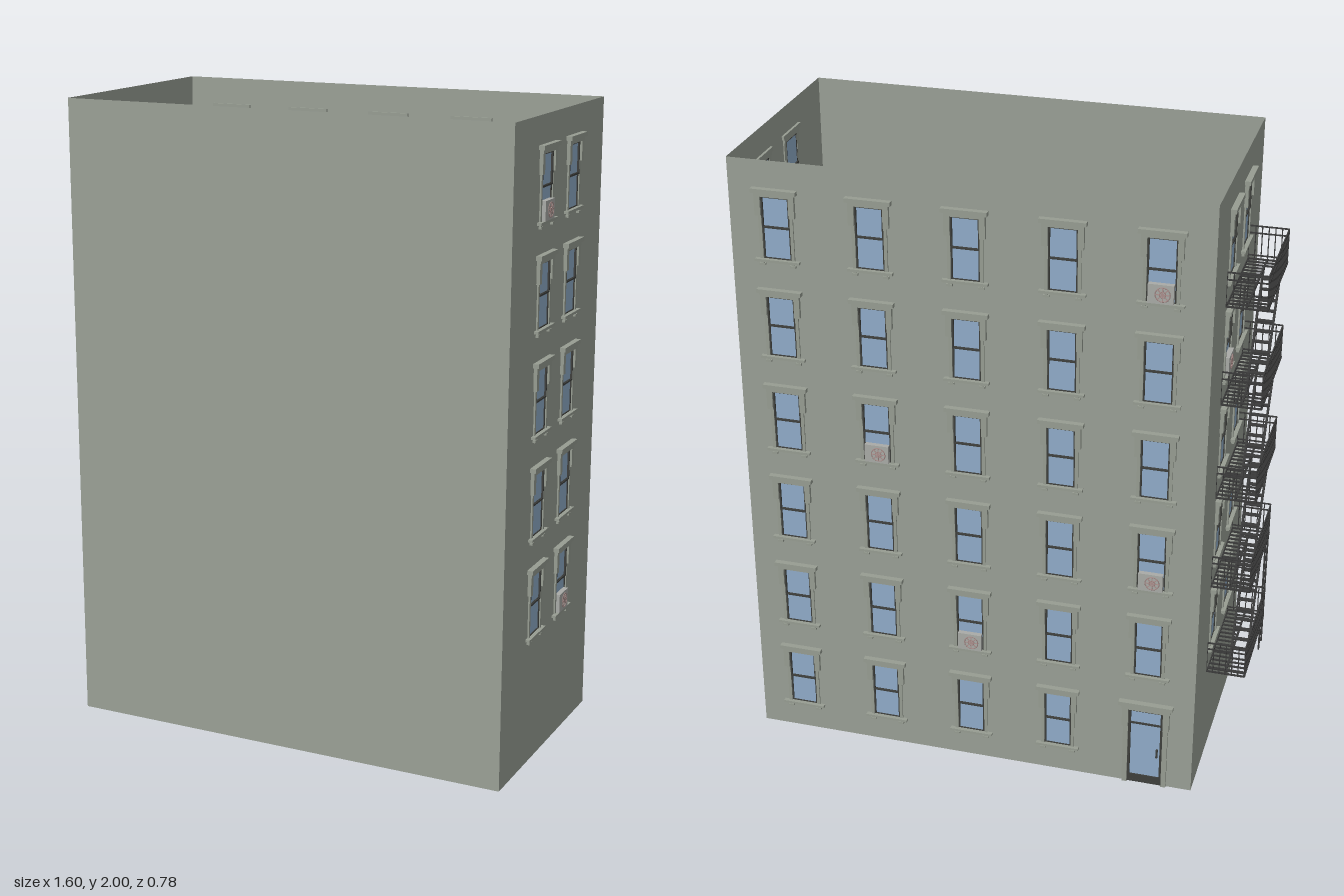
import * as THREE from 'three';
import { mergeGeometries } from 'three/addons/utils/BufferGeometryUtils.js';

const COLORS = {
  wall: 0x9aa096, trim: 0x979d92, frame: 0x3e3f3c, glass: 0x90acc9,
  airConditioner: 0xa9aba7, fan: 0xab8f8c, iron: 0x3a3a3a,
};
const mats = {};
for (const k in COLORS) {
  mats[k] = new THREE.MeshStandardMaterial({ color: COLORS[k], side: THREE.DoubleSide });
}

// Box given by its min and max corners
function box(x0, x1, y0, y1, z0, z1) {
  return new THREE.BoxGeometry(x1 - x0, y1 - y0, z1 - z0)
    .translate((x0 + x1) / 2, (y0 + y1) / 2, (z0 + z1) / 2);
}

// Square bar between two points
function bar(a, b, t = 0.004) {
  const A = new THREE.Vector3(...a), B = new THREE.Vector3(...b);
  const d = B.clone().sub(A);
  const g = new THREE.BoxGeometry(t, d.length(), t);
  g.applyQuaternion(new THREE.Quaternion().setFromUnitVectors(new THREE.Vector3(0, 1, 0), d.normalize()));
  return g.translate((A.x + B.x) / 2, (A.y + B.y) / 2, (A.z + B.z) / 2);
}

function mesh(name, mat, geos) {
  const m = new THREE.Mesh(mergeGeometries(geos), mats[mat]);
  m.name = name;
  return m;
}

// Rectangular ring of four bars around an opening
function ring(w, y0, y1, t, z0, z1) {
  return [
    box(-w, -w + t, y0, y1, z0, z1), box(w - t, w, y0, y1, z0, z1),
    box(-w + t, w - t, y0, y0 + t, z0, z1), box(-w + t, w - t, y1 - t, y1, z0, z1),
  ];
}

// Sash window, its sill at y = 0, facing +z
const WIN_W = 0.044, WIN_H = 0.2;
function makeWindow() {
  const g = new THREE.Group();
  g.name = 'window';
  const trim = [
    box(-0.07, 0.07, 0.212, 0.225, -0.008, 0.018),
    box(-0.062, 0.062, 0.2, 0.212, -0.006, 0.012),
    box(-0.07, 0.07, -0.005, 0.003, -0.006, 0.014),
  ];
  for (const s of [-1, 1]) {
    trim.push(
      box(s * 0.053 - 0.009, s * 0.053 + 0.009, 0.14, 0.2, -0.004, 0.011),
      box(s * 0.049 - 0.005, s * 0.049 + 0.005, 0.003, 0.14, -0.004, 0.005),
      box(s * 0.048 - 0.009, s * 0.048 + 0.009, -0.018, -0.011, 0, 0.009),
      box(s * 0.048 - 0.005, s * 0.048 + 0.005, -0.011, -0.005, 0, 0.007));
  }
  g.add(mesh('windowSurround', 'trim', trim));
  g.add(mesh('sashes', 'frame', [
    ...ring(WIN_W, 0.1, WIN_H, 0.005, -0.003, 0.004),
    ...ring(WIN_W, 0.001, 0.106, 0.005, -0.006, 0.001),
  ]));
  g.add(mesh('pane', 'glass', [new THREE.PlaneGeometry(2 * WIN_W, WIN_H).translate(0, WIN_H / 2, -0.002)]));
  return g;
}

// Window air conditioner with a round fan grille
function makeAirConditioner() {
  const g = new THREE.Group();
  g.name = 'airConditioner';
  g.add(mesh('casing', 'airConditioner', [box(-0.038, 0.038, 0.003, 0.062, -0.007, 0.014)]));
  const fan = [0.009, 0.022].map(r => new THREE.TorusGeometry(r, 0.0017, 4, 16));
  for (let i = 0; i < 4; i++) fan.push(box(-0.022, 0.022, -0.0015, 0.0015, -0.001, 0.001).rotateZ(i * Math.PI / 4));
  const f = mesh('fanGrille', 'fan', fan);
  f.position.set(0.006, 0.032, 0.0145);
  g.add(f);
  return g;
}

// Entrance door with glazed leaf and hood
const DOOR_W = 0.056, DOOR_H = 0.285;
function makeDoor() {
  const g = new THREE.Group();
  g.name = 'door';
  const trim = [
    box(-0.087, 0.087, 0.302, 0.315, -0.008, 0.02),
    box(-0.078, 0.078, 0.285, 0.302, -0.006, 0.013),
  ];
  for (const s of [-1, 1]) {
    trim.push(
      box(s * 0.064 - 0.008, s * 0.064 + 0.008, 0, 0.285, -0.004, 0.008),
      box(s * 0.066 - 0.01, s * 0.066 + 0.01, 0.22, 0.285, -0.004, 0.012));
  }
  g.add(mesh('doorSurround', 'trim', trim));
  g.add(mesh('doorLeaf', 'frame', [
    ...ring(DOOR_W, 0.002, DOOR_H, 0.008, -0.004, 0.004),
    box(-DOOR_W, DOOR_W, 0.002, 0.03, -0.003, 0.003),
    box(-DOOR_W, DOOR_W, 0.228, 0.234, -0.003, 0.003),
    box(0.036, 0.042, 0.11, 0.14, 0, 0.008),
  ]));
  g.add(mesh('doorPane', 'glass', [new THREE.PlaneGeometry(2 * DOOR_W, DOOR_H).translate(0, DOOR_H / 2, -0.001)]));
  return g;
}

const ROW0 = 0.095, STEP = 0.319;

// Thin wall from u0 to u1 facing +z, with openings; acs lists [column, row]
function makeWall(name, u0, u1, cols, firstRow, acs = [], doorCol = -1) {
  const g = new THREE.Group();
  g.name = name;
  const rect = (P, a, b, c, d) =>
    new P([[a, c], [b, c], [b, d], [a, d]].map(p => new THREE.Vector2(...p)));
  const shape = rect(THREE.Shape, u0, u1, 0, 2);
  cols.forEach((u, c) => {
    for (let r = firstRow; r < 6; r++) {
      const isDoor = c === doorCol && r === 0;
      const y = isDoor ? 0 : ROW0 + r * STEP;
      const w = isDoor ? DOOR_W : WIN_W, h = isDoor ? DOOR_H : WIN_H;
      shape.holes.push(rect(THREE.Path, u - w, u + w, y + 0.002, y + h));
      const parts = [isDoor ? makeDoor() : makeWindow()];
      if (acs.some(a => a[0] === c && a[1] === r)) parts.push(makeAirConditioner());
      for (const p of parts) {
        p.position.set(u, y, 0);
        g.add(p);
      }
    }
  });
  g.add(mesh(name + 'Surface', 'wall', [new THREE.ShapeGeometry(shape)]));
  return g;
}

// Iron fire escape: railed platforms, stairs between them, drop ladder
function makeFireEscape() {
  const g = new THREE.Group();
  g.name = 'fireEscape';
  const X0 = -0.797, X1 = -0.675, Z0 = -0.18, Z1 = 0.193;
  const SX0 = -0.787, SX1 = -0.735, SZ0 = -0.085, SZ1 = 0.13;
  for (let i = 0; i < 5; i++) {
    const y = 0.335 + i * 0.32, top = y + 0.108;
    // slatted floor, left open above the stair
    const floor = [X0, SX1, X1].map(x => bar([x, y, Z0], [x, y, Z1], 0.006));
    for (let k = 0; k <= 16; k++) {
      const z = Z0 + (Z1 - Z0) * k / 16;
      const open = z > SZ0 && z < SZ1;
      floor.push(bar([open ? SX1 : X0, y, z], [X1, y, z], 0.005));
    }
    g.add(mesh('platform', 'iron', floor));
    // railing on the three outer sides
    const rail = [];
    for (const h of [y + 0.012, y + 0.085, top]) {
      rail.push(bar([X0, h, Z0], [X0, h, Z1]));
      for (const z of [Z0, Z1]) rail.push(bar([X0, h, z], [X1, h, z]));
    }
    for (let k = 0; k <= 18; k++) {
      const z = Z0 + (Z1 - Z0) * k / 18;
      rail.push(bar([X0, y, z], [X0, top, z], 0.003));
    }
    for (let k = 1; k <= 6; k++) {
      const x = X0 + (X1 - X0) * k / 6;
      for (const z of [Z0, Z1]) rail.push(bar([x, y, z], [x, top, z], 0.003));
    }
    g.add(mesh('railing', 'iron', rail));
    // stair up to the next platform
    if (i < 4) {
      const stair = [SX0, SX1].map(x => bar([x, y, SZ0], [x, y + 0.32, SZ1], 0.007));
      for (let k = 1; k < 12; k++) {
        const t = k / 12, z = SZ0 + (SZ1 - SZ0) * t, h = y + 0.32 * t;
        stair.push(box(SX0, SX1, h - 0.002, h + 0.002, z - 0.008, z + 0.008));
      }
      g.add(mesh('stair', 'iron', stair));
    }
  }
  // drop ladder hung on the lowest railing
  const ladder = [0.112, 0.165].map(z => bar([-0.799, 0.25, z], [-0.799, 0.7, z], 0.005));
  for (let y = 0.27; y < 0.7; y += 0.032) ladder.push(bar([-0.799, y, 0.112], [-0.799, y, 0.165], 0.0035));
  g.add(mesh('dropLadder', 'iron', ladder));
  return g;
}

export function createModel() {
  const model = new THREE.Group();
  model.name = 'apartmentBuilding';
  const place = (w, x, z, ry) => {
    w.position.set(x, 0, z);
    w.rotation.y = ry;
    model.add(w);
  };
  place(makeWall('frontWall', -0.675, 0.78, [], 0), 0, 0.39, 0);
  place(makeWall('backWall', -0.78, 0.675, [-0.635, -0.345, -0.055, 0.235, 0.522], 0,
    [[4, 5], [1, 3], [4, 2], [2, 1]], 4), 0, -0.372, Math.PI);
  place(makeWall('leftWall', -0.39, 0.372, [-0.125, 0.107], 1, [[0, 5], [1, 1]]), 0.78, 0, Math.PI / 2);
  place(makeWall('rightWall', -0.372, 0.39, [-0.107, 0.125], 1, [[0, 4]]), -0.675, 0, -Math.PI / 2);
  model.add(makeFireEscape());
  return model;
}
